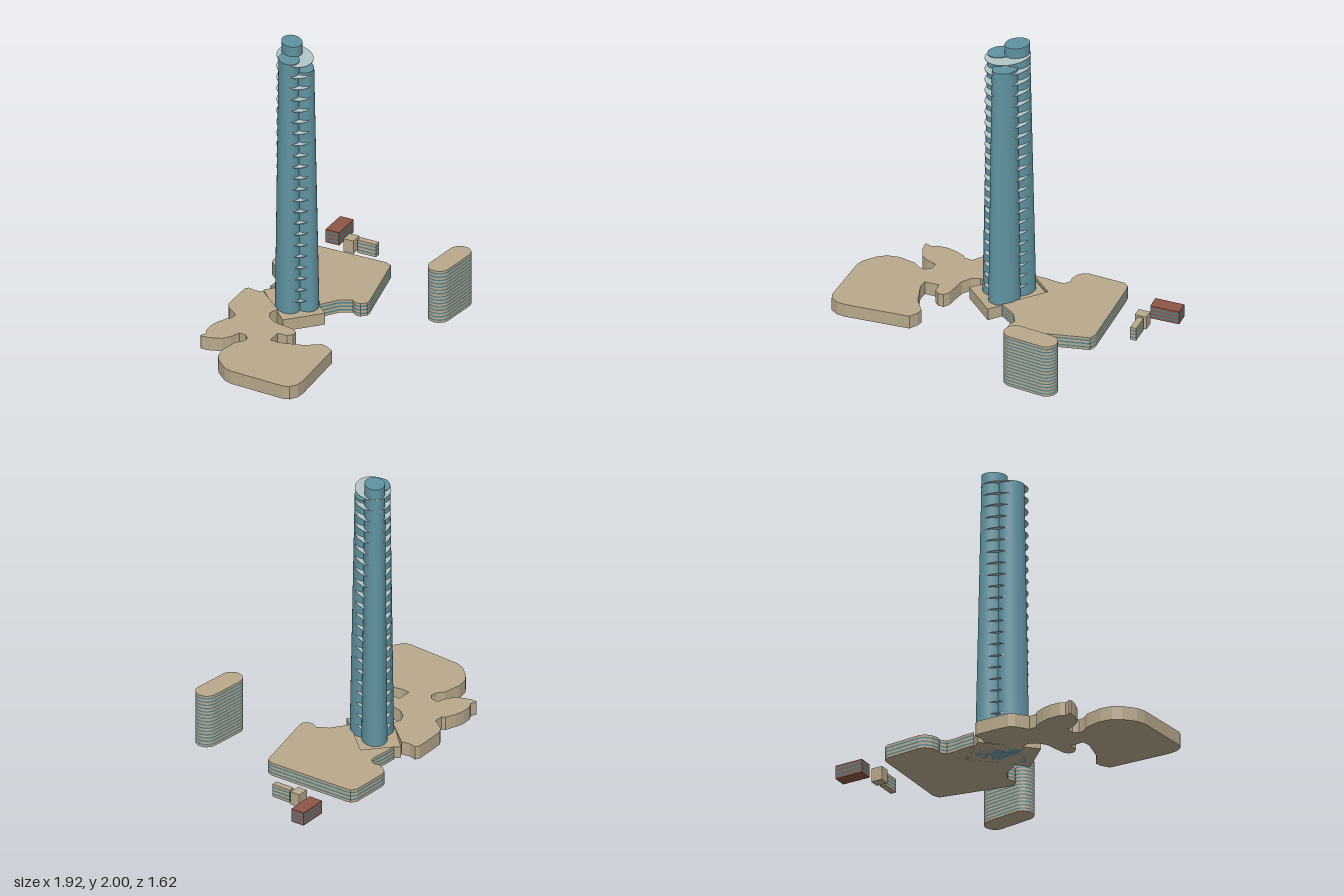
import * as THREE from 'three';

const paint = (color, extra = {}) => new THREE.MeshStandardMaterial({ color, ...extra });
const stone = paint(0xb8a88c);
const glass = paint(0x5f93a1);
const bandGlass = paint(0x4a8293);
const ledgeMat = paint(0xb4c6c8);
const brick = paint(0x8c5646);

const TILT = -0.34; // tower and its plinth are turned together

// Flat plan given as [x, z] corners
const plan = (points) => new THREE.Shape(points.map(([x, z]) => new THREE.Vector2(x, -z)));

// Upright prism over a plan, from y0 to y1
function prism(name, shape, y0, y1, material) {
  const geometry = new THREE.ExtrudeGeometry(shape, { depth: y1 - y0, bevelEnabled: false });
  geometry.rotateX(-Math.PI / 2).translate(0, y0, 0);
  const mesh = new THREE.Mesh(geometry, material);
  mesh.name = name;
  return mesh;
}

// Building of wall layers with flush window bands between them
function bandedBuilding(name, shape, height, floors, wall) {
  const group = new THREE.Group();
  group.name = name;
  const step = height / (floors + 0.6);
  for (let i = 0; i <= floors; i++) {
    const y = i * step;
    group.add(prism('wallLayer', shape, y, y + step * 0.6, wall));
    if (i < floors) group.add(prism('windowBand', shape, y + step * 0.6, y + step, bandGlass));
  }
  return group;
}

// Tower of three leaning, tapering oval shafts with thin oval ledges
function tower() {
  const group = new THREE.Group();
  group.name = 'tower';
  const cx = -0.07, cz = -0.1;
  const spread = (y) => 1 + 0.135 * (1.93 - y);
  const shafts = [
    ['rearShaft', -0.03, -0.16, 2],
    ['rightShaft', -0.112, -0.083, 1.93],
    ['frontShaft', -0.025, -0.042, 1.86],
  ];
  for (const [name, x, z, top] of shafts) {
    const s0 = spread(0), s1 = spread(top);
    const geometry = new THREE.CylinderGeometry(s1, s0, top, 48);
    geometry.translate(0, top / 2, 0).scale(0.067, 1, 0.087).rotateY(TILT);
    // Lean the shaft toward the tower axis as it rises
    const dx = x - cx, dz = z - cz, lean = (s1 - s0) / top;
    geometry.applyMatrix4(new THREE.Matrix4().set(
      1, dx * lean, 0, cx + dx * s0,
      0, 1, 0, 0,
      0, dz * lean, 1, cz + dz * s0,
      0, 0, 0, 1));
    const mesh = new THREE.Mesh(geometry, glass);
    mesh.name = name;
    group.add(mesh);
  }
  const ledge = new THREE.CylinderGeometry(1, 1, 0.004, 48);
  ledge.scale(0.117, 1, 0.157).rotateY(TILT);
  for (let i = 2; i <= 23; i++) {
    const mesh = new THREE.Mesh(ledge, ledgeMat);
    mesh.name = 'ledge';
    mesh.position.set(-0.053, i * 0.0836, -0.095);
    group.add(mesh);
  }
  return group;
}

// Capsule plan between two end centres
function capsule(ax, az, bx, bz, r) {
  const points = [];
  const along = Math.atan2(bz - az, bx - ax);
  for (const [x, z, start] of [[bx, bz, along - Math.PI / 2], [ax, az, along + Math.PI / 2]]) {
    for (let i = 0; i <= 14; i++) {
      const a = start + (i / 14) * Math.PI;
      points.push([x + r * Math.cos(a), z + r * Math.sin(a)]);
    }
  }
  return plan(points);
}

export function createModel() {
  const model = new THREE.Group();
  model.name = 'towerComplex';
  const H = 0.095;

  // Tower and plinth
  model.add(tower());
  model.add(prism('plinth', plan([[-0.12, -0.35], [0.135, -0.265], [0.01, 0.145], [-0.265, 0.05]]), 0, 0.085, stone));

  // Banded podium on the left of the tower
  const leftPodium = plan([
    [0.41, -0.71], [0.45, -0.7], [0.47, -0.67], [0.73, -0.14], [0.73, -0.09], [0.33, 0.205],
    [0.3, 0.217], [0.26, 0.2], [0.245, 0.17], [0.25, 0.13], [0.18, 0.075], [0.04, 0.045],
    [0.14, -0.275], [-0.07, -0.345], [0.02, -0.38], [0.08, -0.395], [0.14, -0.42], [0.152, -0.47],
    [0.13, -0.5], [0.125, -0.55], [0.14, -0.595], [0.17, -0.62],
  ]);
  model.add(bandedBuilding('leftPodium', leftPodium, H, 3, stone));

  // Winding plain podium on the right of the tower
  const rightPodium = plan([
    [-0.22, -0.42], [-0.19, -0.415], [-0.178, -0.36], [-0.145, -0.315], [-0.215, -0.07], [-0.28, -0.065],
    [-0.32, -0.02], [-0.335, 0.05], [-0.32, 0.11], [-0.295, 0.2], [-0.305, 0.245], [-0.34, 0.26],
    [-0.38, 0.245], [-0.41, 0.185], [-0.44, 0.2], [-0.5, 0.225], [-0.48, 0.285], [-0.37, 0.415],
    [-0.27, 0.475], [-0.26, 0.52], [-0.27, 0.585], [-0.66, 0.79], [-0.72, 0.81], [-0.78, 0.8],
    [-0.81, 0.77], [-0.96, 0.4], [-0.965, 0.34], [-0.935, 0.24], [-0.9, 0.185], [-0.83, 0.14],
    [-0.71, 0.115], [-0.65, 0.13], [-0.61, 0.12], [-0.59, 0.08], [-0.605, 0.03], [-0.68, 0.035],
    [-0.74, 0.02], [-0.8, -0.04], [-0.83, -0.09], [-0.825, -0.1], [-0.78, -0.1], [-0.76, -0.13],
    [-0.69, -0.165], [-0.63, -0.175], [-0.55, -0.175], [-0.53, -0.16], [-0.475, -0.18],
    [-0.455, -0.28], [-0.43, -0.32], [-0.34, -0.365],
  ]);
  model.add(prism('rightPodium', rightPodium, 0, H, stone));

  // Rounded slab block
  model.add(bandedBuilding('slabBlock', capsule(0.662, 0.52, 0.885, 0.45, 0.075), 0.385, 15, stone));

  // Small outbuildings
  model.add(bandedBuilding('brickBuilding', plan([[0.68, -0.73], [0.865, -0.813], [0.908, -0.725], [0.725, -0.64]]), H, 3, brick));
  model.add(prism('smallBlock', plan([[0.7, -0.56], [0.775, -0.593], [0.805, -0.528], [0.73, -0.495]]), 0, H, stone));
  model.add(bandedBuilding('narrowBlock', plan([[0.762, -0.49], [0.8, -0.508], [0.858, -0.385], [0.82, -0.368]]), H, 3, stone));

  return model;
}
